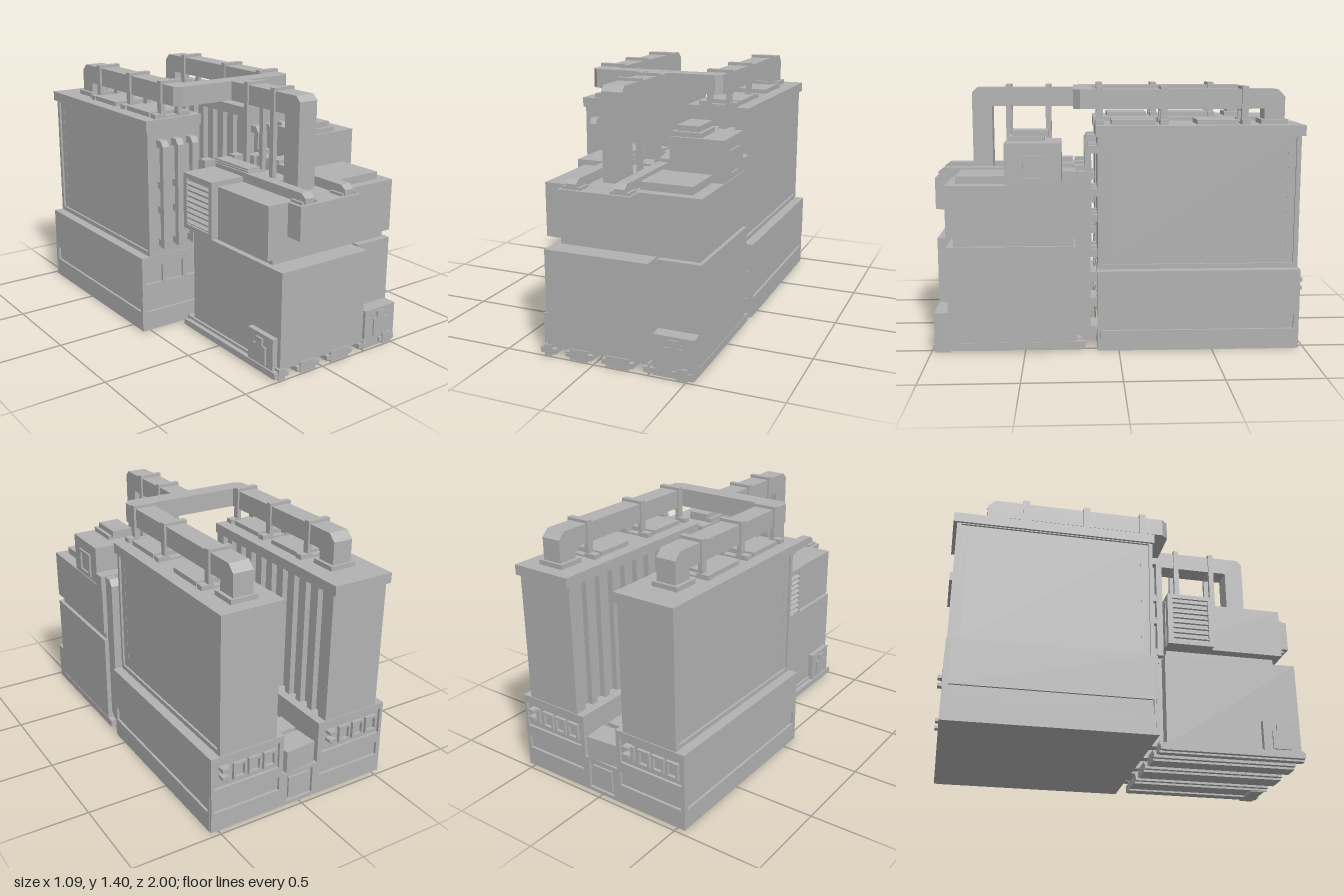
import * as THREE from 'three';

export function createModel() {
  const root = new THREE.Group();
  const grey = new THREE.MeshStandardMaterial({ color: 0xb2b2b2 });
  grey.name = 'machineGrey';

  const add = (name, geo) => {
    const m = new THREE.Mesh(geo, grey);
    m.name = name;
    root.add(m);
    return m;
  };
  // Box given by its limits on each axis
  const box = (name, x0, x1, y0, y1, z0, z1) => {
    const g = new THREE.BoxGeometry(x1 - x0, y1 - y0, z1 - z0);
    g.translate((x0 + x1) / 2, (y0 + y1) / 2, (z0 + z1) / 2);
    return add(name, g);
  };
  const poly = (pts) => new THREE.Shape(pts.map(([a, b]) => new THREE.Vector2(a, b)));
  const rect = (a0, a1, b0, b1) => poly([[a0, b0], [a1, b0], [a1, b1], [a0, b1]]);
  const extrude = (shape, depth) => new THREE.ExtrudeGeometry(shape, { depth, bevelEnabled: false });
  // Outline in (z, y) swept from x0 to x1
  const sweepX = (name, shape, x0, x1) =>
    add(name, extrude(shape, x1 - x0).rotateY(-Math.PI / 2).translate(x1, 0, 0));
  // Outline in (x, y) swept from z0 to z1
  const sweepZ = (name, shape, z0, z1) => add(name, extrude(shape, z1 - z0).translate(0, 0, z0));
  const holed = (outer, holes) => {
    const s = rect(...outer);
    holes.forEach((h) => s.holes.push(rect(...h)));
    return s;
  };
  // Swaps the limits of a span when it is mirrored
  const span = (s, a, b) => (s > 0 ? [a, b] : [-b, -a]);

  // Base plinth with an open channel down the middle
  box('baseCore', -0.53, 0.53, 0, 0.2, -0.955, 0.1);
  sweepZ('baseFrontFrame', holed([-0.545, 0.54, 0, 0.2],
    [[-0.52, -0.13, 0.11, 0.19], [0.13, 0.52, 0.11, 0.19]]), 0.1, 0.115);
  sweepZ('baseBackFrame', holed([-0.545, 0.54, 0, 0.2],
    [[-0.52, -0.13, 0.11, 0.19], [-0.085, 0.085, 0.02, 0.18], [0.13, 0.52, 0.11, 0.19]]), -0.97, -0.955);
  box('backHatch', -0.065, 0.065, 0.04, 0.16, -0.966, -0.95);

  for (const s of [-1, 1]) {
    const X = (a, b) => span(s, a, b);
    // Side wall of the plinth with its long recess
    sweepX('baseSideFrame', holed([-0.955, 0.1, 0, 0.435], [[-0.94, 0.09, 0.11, 0.19]]), ...X(0.53, 0.543));
    box('baseShoulder', ...X(0.11, 0.53), 0.2, 0.435, -0.955, 0.1);

    // Square insets at the front and the control panel at the back
    const squares = [0.14, 0.275, 0.41].map((x) => [...X(x, x + 0.11), 0.275, 0.38]);
    sweepZ('shoulderFrontFrame', holed([...X(0.11, 0.543), 0.2, 0.435], squares), 0.1, 0.115);
    sweepZ('controlPanelFrame', holed([...X(0.11, 0.543), 0.2, 0.435], [[...X(0.135, 0.525), 0.25, 0.4]]), -0.97, -0.955);
    const left = s > 0 ? 0.135 : -0.525;
    for (let i = 0; i < 3; i++) {
      const x = left + 0.02 + i * 0.09;
      sweepZ('controlScreen', holed([x, x + 0.075, 0.275, 0.37], [[x + 0.012, x + 0.063, 0.29, 0.355]]), -0.972, -0.954);
    }
    box('controlLever', left + 0.3, left + 0.32, 0.28, 0.37, -0.972, -0.954);
    for (const y of [0.31, 0.355]) box('controlPlug', left + 0.315, left + 0.355, y, y + 0.018, -0.995, -0.954);

    // Tower: core, outer frame, ribbed inner wall and cap
    box('towerCore', ...X(0.19, 0.478), 0.435, 1.15, -0.96, 0.105);
    sweepX('towerOuterFrame', holed([-0.965, 0.11, 0.43, 1.15], [[-0.94, 0.09, 0.46, 1.14]]), ...X(0.478, 0.49));
    for (const [z0, z1] of [[-0.965, -0.9], [0.045, 0.11]]) box('towerInnerPost', ...X(0.155, 0.479), 0.43, 1.15, z0, z1);
    for (let i = 0; i < 9; i++) {
      const z = -0.84 + i * 0.1;
      box('towerInnerRib', ...X(0.158, 0.195), 0.43, 1.15, z, z + 0.04);
    }
    box('towerCap', ...X(0.15, 0.503), 1.145, 1.2, -0.985, 0.12);

    // Three drain pipes on the tower front
    for (const x of [0.205, 0.3, 0.395]) {
      sweepX('drainPipe', poly([[0.105, 1.05], [0.142, 1.05], [0.142, 0.49], [0.175, 0.49],
        [0.175, 1.06], [0.155, 1.09], [0.105, 1.09]]), ...X(x, x + 0.04));
      for (const y of [0.49, 0.68, 0.82]) box('pipeClip', ...X(x + 0.005, x + 0.035), y, y + 0.04, 0.105, 0.145);
    }

    // Roof duct with its outlet, plates and brackets
    const end = s > 0 ? -0.895 : -0.805;
    const d = X(0.27, 0.383);
    sweepX('roofDuct', poly([[0.14, 1.28], [0.14, 1.384], [end + 0.04, 1.384], [end, 1.345],
      [end, 1.2], [end + 0.11, 1.2], [end + 0.11, 1.28]]), ...d);
    box('ductFlange', ...X(0.25, 0.403), 1.2, 1.225, end - 0.015, end + 0.13);
    const plates = s > 0 ? [[-0.64, -0.42], [-0.2, 0.035]] : [[-0.57, -0.33], [-0.2, 0.035]];
    for (const [z0, z1] of plates) box('roofPlate', ...X(0.225, 0.43), 1.2, 1.225, z0, z1);
    const brackets = s > 0 ? [-0.68, -0.245, 0.095] : [-0.59, -0.245, 0.08];
    for (const z of brackets) {
      sweepZ('ductBracket', holed([...X(0.26, 0.395), 1.2, 1.4], [[...X(0.285, 0.37), 1.21, 1.27]]), z - 0.018, z + 0.018);
      for (const x of [0.215, 0.365]) box('bracketFoot', ...X(x, x + 0.07), 1.2, 1.225, z - 0.022, z + 0.022);
    }
  }

  // Crates lying loosely in the channel: z, depth, turn
  for (const [z, depth, turn] of [[-0.895, 0.14, 0.08], [-0.73, 0.13, 0], [-0.55, 0.19, -0.1],
    [-0.35, 0.19, 0.05], [-0.16, 0.13, 0], [0.005, 0.15, -0.28]]) {
    const crate = add('crate', new THREE.BoxGeometry(0.185, 0.13, depth));
    crate.position.set(0, 0.262, z);
    crate.rotation.y = turn;
  }

  // Cross duct joining both roof ducts, and the duct down to the front unit
  add('crossDuct', extrude(poly([[-0.383, -0.13], [-0.383, -0.2], [-0.35, -0.235], [0.35, -0.235],
    [0.383, -0.2], [0.383, -0.13]]), 0.104).rotateX(-Math.PI / 2).translate(0, 1.28, 0));
  sweepX('frontDuct', poly([[0.22, 1.28], [0.69, 1.28], [0.69, 0.89], [0.8, 0.89], [0.8, 1.355],
    [0.772, 1.384], [0.22, 1.384]]), -0.03, 0.083);
  for (const z of [0.375, 0.597]) {
    sweepZ('frontDuctBracket', holed([-0.04, 0.093, 0.89, 1.4], [[-0.015, 0.068, 0.91, 1.27]]), z - 0.015, z + 0.015);
  }

  // Lower half of the front unit
  box('lowerBody', -0.272, 0.295, 0.05, 0.572, 0.225, 0.985);
  box('lowerSideBody', 0.313, 0.54, 0.05, 0.572, 0.225, 0.905);
  box('lowerSeam', 0.29, 0.32, 0.05, 0.56, 0.24, 0.89);
  box('waist', -0.24, 0.52, 0.57, 0.62, 0.24, 0.87);
  box('sideSkirt', 0.3, 0.543, 0.01, 0.052, 0.18, 0.91);
  box('leftSkirt', -0.31, -0.27, 0.01, 0.045, 0.2, 0.985);

  // Pallet rails under the front unit
  for (const [x0, x1] of [[-0.31, -0.22], [-0.165, -0.015], [0.04, 0.215], [0.27, 0.33], [0.42, 0.53]]) {
    box('railFoot', x0, x1, 0.012, 0.04, 0.18, 0.99);
    box('railWeb', x0 + 0.025, x1 - 0.025, 0, 0.06, 0.18, 0.992);
  }

  // Corner boxes with raised emblem-free latch plates
  const latch = (c, b) => poly([[c - 0.05, b], [c + 0.05, b], [c + 0.05, b + 0.1], [c + 0.025, b + 0.1],
    [c + 0.025, b + 0.14], [c - 0.025, b + 0.14], [c - 0.025, b + 0.1], [c - 0.05, b + 0.1]]);
  box('frontCornerBox', 0.317, 0.535, 0, 0.217, 0.9, 0.98);
  sweepZ('frontLatch', latch(0.427, 0.06), 0.975, 0.988);
  box('sideCornerBox', -0.302, -0.265, 0.03, 0.217, 0.76, 0.96);
  sweepX('sideLatch', latch(0.86, 0.055), -0.312, -0.3);

  // Upper half of the front unit
  box('upperBody', -0.3, 0.54, 0.615, 0.897, 0.225, 0.905);
  box('frontHood', -0.178, 0.215, 0.72, 0.896, 0.9, 1.0);
  for (const x of [-0.155, -0.03, 0.09]) box('hoodTab', x, x + 0.085, 0.71, 0.722, 0.91, 0.985);
  box('topPlate', 0.2, 0.475, 0.89, 0.938, 0.585, 0.855);

  // Louvred side unit
  box('louverHousing', -0.33, -0.055, 0.615, 0.925, 0.23, 0.49);
  sweepX('louverFrame', holed([0.23, 0.49, 0.615, 0.925], [[0.26, 0.465, 0.64, 0.9]]), -0.342, -0.33);
  for (let i = 0; i < 8; i++) {
    const slat = add('louverSlat', new THREE.BoxGeometry(0.03, 0.008, 0.205));
    slat.position.set(-0.332, 0.66 + i * 0.031, 0.3625);
    slat.rotation.z = 0.7;
  }

  // Conduits running forward over the top into the hood
  for (const [x0, x1, z0] of [[-0.138, -0.08, 0.24], [0.122, 0.18, 0.4]]) {
    sweepX('topConduit', poly([[z0, 0.89], [0.985, 0.89], [0.985, 0.925], [0.955, 0.947], [z0, 0.947]]), x0, x1);
    for (const x of [x0 - 0.022, x1 + 0.008]) box('conduitClamp', x, x + 0.014, 0.89, 0.91, 0.9, 0.985);
  }
  for (let i = 0; i < 3; i++) box('conduitVent', -0.138, -0.055, 0.94 + i * 0.013, 0.948 + i * 0.013, 0.24, 0.53);
  box('conduitVentCore', -0.13, -0.06, 0.92, 0.97, 0.245, 0.5);
  // Bent conduit from the duct to the tall cabinet
  add('bentConduit', extrude(poly([[0.08, -0.235], [0.15, -0.235], [0.19, -0.38], [0.26, -0.38], [0.26, -0.46],
    [0.13, -0.46], [0.1, -0.3], [0.08, -0.3]]), 0.075).rotateX(-Math.PI / 2).translate(0, 0.89, 0));

  // Tall cabinet with side window and top cover
  box('cabinet', 0.245, 0.535, 0.89, 1.115, 0.3, 0.595);
  sweepX('cabinetWindowFrame', holed([0.375, 0.515, 0.915, 1.052], [[0.393, 0.497, 0.933, 1.034]]), 0.53, 0.545);
  box('cabinetCover', 0.25, 0.41, 1.11, 1.14, 0.39, 0.58);
  box('cabinetLid', 0.27, 0.39, 1.135, 1.17, 0.37, 0.56);

  // Back plate, columns and cables between front unit and towers
  box('rearShelf', 0.385, 0.543, 0.89, 0.97, 0.225, 0.295);
  for (const [x0, x1] of [[-0.2, -0.14], [0.0, 0.06], [0.2, 0.26], [0.46, 0.515]]) {
    sweepX('rearColumn', poly([[0.15, 0.06], [0.19, 0.06], [0.23, 0.1], [0.23, 0.965], [0.175, 0.965], [0.15, 0.93]]), x0, x1);
  }
  box('rearCable', 0.3, 0.318, 0.14, 0.6, 0.2, 0.23);
  for (const y of [0.06, 0.22, 0.36]) box('linkBlock', 0.3, 0.45, y, y + 0.05, 0.1, 0.23);
  return root;
}
